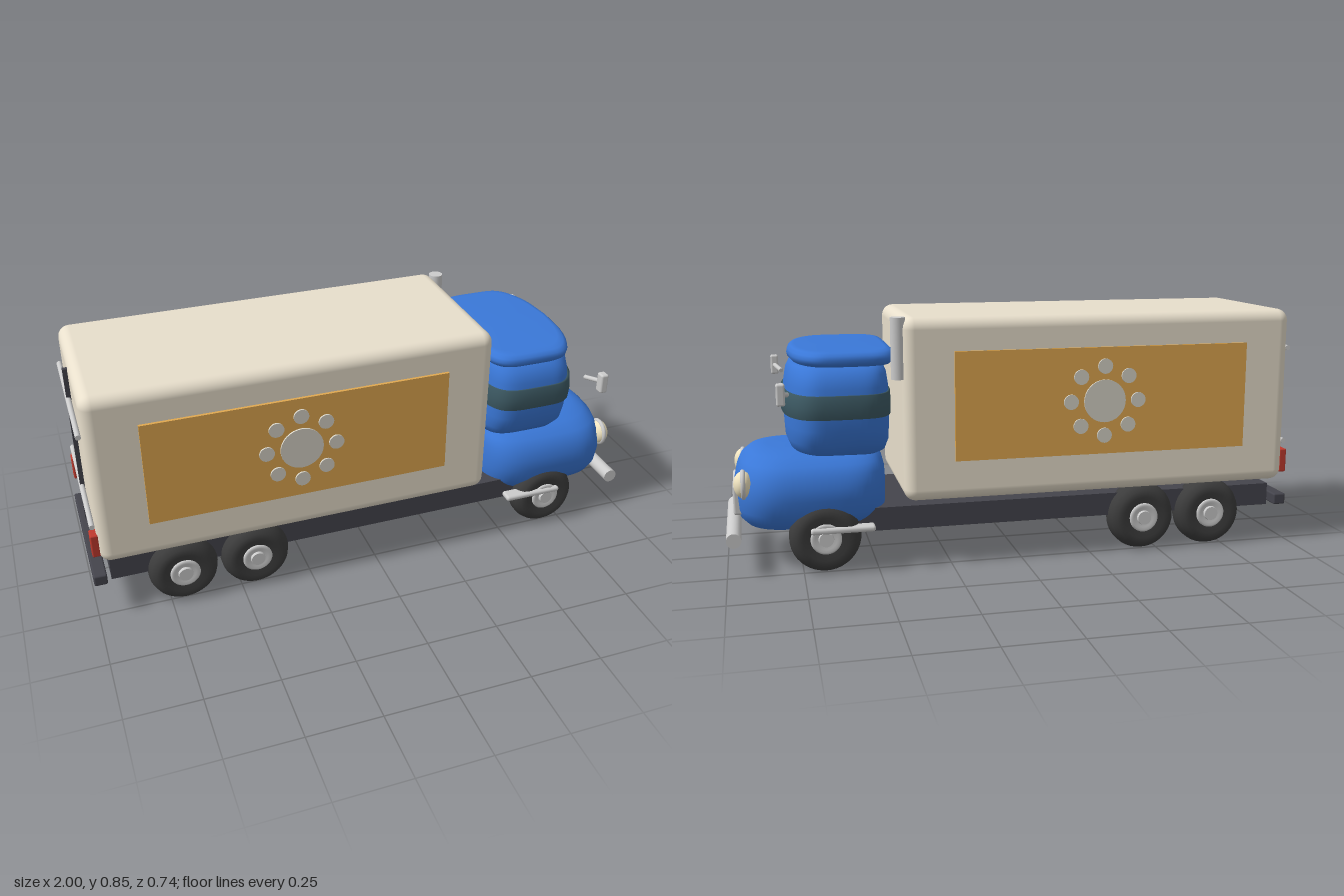
import * as THREE from 'three';
import { RoundedBoxGeometry } from 'three/addons/geometries/RoundedBoxGeometry.js';

const mat = (color, side = THREE.FrontSide) => new THREE.MeshStandardMaterial({ color, side });
const BLUE = mat(0x3a78d8), CREAM = mat(0xe8dfcc), GOLD = mat(0xe0a850), GLASS = mat(0x3d5a64),
  DARK = mat(0x44444c), TYRE = mat(0x3c3c3c), RED = mat(0xc03a2e), LAMP = mat(0xf0e4c0),
  GREY = mat(0xcccccc), PALE = mat(0xd8d4c8);

// Rounded body from horizontal rows [y, rearX, frontX, halfZ]; the front edge is bowed
function loft(rows, power = 4.5, bow = 0.04, n = 64) {
  const pos = [], idx = [];
  const sp = v => Math.sign(v) * Math.abs(v) ** (2 / power);
  for (const [y, x0, x1, hz] of rows) {
    for (let j = 0; j < n; j++) {
      const t = (j / n) * Math.PI * 2, u = sp(Math.cos(t)), w = sp(Math.sin(t));
      const x = (x0 + x1) / 2 + (u * (x1 - x0)) / 2 - bow * w * w * Math.max(u, 0);
      pos.push(x, y, w * hz);
    }
  }
  for (let i = 0; i < rows.length - 1; i++) {
    for (let j = 0; j < n; j++) {
      const k = (j + 1) % n, a = i * n + j, b = i * n + k;
      idx.push(a, a + n, b, b, a + n, b + n);
    }
  }
  const last = (rows.length - 1) * n, c = rows.length * n;
  for (const r of [rows[0], rows[rows.length - 1]]) pos.push((r[1] + r[2]) / 2, r[0], 0);
  for (let j = 0; j < n; j++) {
    const k = (j + 1) % n;
    idx.push(c, j, k, c + 1, last + k, last + j);
  }
  const g = new THREE.BufferGeometry();
  g.setAttribute('position', new THREE.Float32BufferAttribute(pos, 3));
  g.setIndex(idx);
  g.computeVertexNormals();
  return g;
}

export function createModel() {
  const truck = new THREE.Group();
  truck.name = 'truck';

  const add = (name, geo, material, x = 0, y = 0, z = 0, parent = truck) => {
    const m = new THREE.Mesh(geo, material);
    m.name = name;
    m.position.set(x, y, z);
    parent.add(m);
    return m;
  };
  // Box between two corners, optionally rounded
  const box = (name, material, x0, x1, y0, y1, z0, z1, r = 0) => add(name,
    r ? new RoundedBoxGeometry(x1 - x0, y1 - y0, z1 - z0, 4, r) : new THREE.BoxGeometry(x1 - x0, y1 - y0, z1 - z0),
    material, (x0 + x1) / 2, (y0 + y1) / 2, (z0 + z1) / 2);
  // Rod between two points
  const rod = (name, material, a, b, r) => {
    const p = new THREE.Vector3(...a), q = new THREE.Vector3(...b), d = q.clone().sub(p);
    const m = add(name, new THREE.CylinderGeometry(r, r, d.length(), 24), material);
    m.position.copy(p).add(q).multiplyScalar(0.5);
    m.quaternion.setFromUnitVectors(new THREE.Vector3(0, 1, 0), d.normalize());
    return m;
  };

  // Chassis and cargo box
  box('chassis', DARK, -0.94, 0.6, 0.125, 0.205, -0.23, 0.23);
  box('rearBumper', DARK, -1, -0.955, 0.13, 0.17, -0.26, 0.26, 0.006);
  box('cargoBox', CREAM, -0.97, 0.41, 0.23, 0.85, -0.29, 0.29, 0.04);

  // Side panels with a sun of discs
  const disc = (r, x, y, s) => {
    const m = add('sunDisc', new THREE.CylinderGeometry(r, r, 0.01, 32), PALE, x, y, s * 0.301);
    m.rotation.x = Math.PI / 2;
  };
  for (const s of [1, -1]) {
    add('sidePanel', new THREE.BoxGeometry(1.04, 0.37, 0.02), GOLD, -0.28, 0.553, s * 0.29);
    disc(0.074, -0.28, 0.553, s);
    for (let i = 0; i < 8; i++) {
      const a = (i * Math.PI) / 4;
      disc(0.026, -0.28 + 0.12 * Math.cos(a), 0.553 + 0.12 * Math.sin(a), s);
    }
  }

  // Rear doors: seam, lock bars and tail lights
  box('doorSeam', DARK, -0.985, -0.965, 0.235, 0.82, -0.008, 0.008);
  for (const y of [0.37, 0.71]) rod('lockBar', GREY, [-0.98, y, -0.26], [-0.98, y, 0.26], 0.009);
  for (const s of [1, -1]) {
    box('tailLight', RED, -0.992, -0.965, 0.255, 0.34, s * 0.245 - 0.022, s * 0.245 + 0.022, 0.005);
  }

  // Cab: hood body, upper cab, window band and roof
  add('hood', loft([
    [0.13, 0.56, 0.91, 0.16], [0.14, 0.5, 0.935, 0.2], [0.165, 0.465, 0.955, 0.24], [0.2, 0.457, 0.964, 0.263],
    [0.25, 0.455, 0.967, 0.274], [0.29, 0.455, 0.965, 0.272], [0.33, 0.457, 0.957, 0.26],
    [0.36, 0.464, 0.943, 0.236], [0.385, 0.482, 0.915, 0.193], [0.396, 0.51, 0.885, 0.14], [0.4, 0.56, 0.85, 0.09],
  ], 4), BLUE);
  add('upperCab', loft([
    [0.38, 0.47, 0.755, 0.18], [0.395, 0.452, 0.772, 0.218], [0.43, 0.442, 0.785, 0.25], [0.48, 0.44, 0.788, 0.266],
    [0.55, 0.44, 0.79, 0.272], [0.62, 0.441, 0.787, 0.266], [0.66, 0.446, 0.78, 0.25],
    [0.685, 0.455, 0.768, 0.222], [0.7, 0.475, 0.75, 0.18],
  ]), BLUE);
  add('windowBand', loft([
    [0.52, 0.44, 0.79, 0.268], [0.521, 0.435, 0.798, 0.275], [0.56, 0.433, 0.8, 0.278],
    [0.599, 0.435, 0.797, 0.274], [0.6, 0.44, 0.788, 0.267],
  ]), GLASS);
  add('roof', loft([
    [0.69, 0.45, 0.745, 0.24], [0.694, 0.434, 0.76, 0.264], [0.704, 0.423, 0.77, 0.277], [0.717, 0.42, 0.773, 0.28],
    [0.73, 0.423, 0.77, 0.277], [0.74, 0.434, 0.76, 0.264], [0.744, 0.45, 0.745, 0.24],
  ], 5, 0.05), BLUE);

  // Nose: grille, headlights and bumper
  box('grille', GREY, 0.93, 0.972, 0.18, 0.283, -0.125, 0.125, 0.008);
  for (const s of [1, -1]) {
    const lamp = add('headlight', new THREE.SphereGeometry(0.045, 32, 20), LAMP, 0.936, 0.3, s * 0.18);
    lamp.scale.x = 0.7;
    const rim = add('headlightRim', new THREE.TorusGeometry(0.043, 0.008, 12, 36), GREY, 0.936, 0.3, s * 0.18);
    rim.rotation.y = Math.PI / 2;
  }
  rod('frontBumper', GREY, [0.974, 0.126, -0.245], [0.974, 0.126, 0.245], 0.025);

  // Exhaust stack on the right
  rod('exhaust', GREY, [0.42, 0.645, -0.246], [0.42, 0.85, -0.246], 0.025);

  // Mirrors and steps
  for (const s of [1, -1]) {
    rod('mirrorArm', GREY, [0.785, 0.612, s * 0.275], [0.807, 0.625, s * 0.34], 0.008);
    box('mirror', GREY, 0.793, 0.821, 0.59, 0.661, s * 0.352 - 0.017, s * 0.352 + 0.017, 0.007);
    box('step', GREY, 0.51, 0.725, 0.14, 0.16, s * 0.265 - 0.025, s * 0.265 + 0.025, 0.009);
  }

  // Wheels
  const lathe = pts => new THREE.LatheGeometry(pts.map(p => new THREE.Vector2(...p)), 40);
  const tyreGeo = lathe([[0, -0.045], [0.05, -0.045], [0.075, -0.054], [0.098, -0.05], [0.113, -0.033], [0.12, -0.012],
    [0.12, 0.012], [0.113, 0.033], [0.098, 0.05], [0.075, 0.054], [0.052, 0.047], [0, 0.043]]);
  const rimGeo = lathe([[0.052, 0.03], [0.052, 0.05], [0.044, 0.056], [0.036, 0.05], [0, 0.05]]);
  const hubGeo = new THREE.CylinderGeometry(0.024, 0.028, 0.02, 32);
  for (const x of [-0.697, -0.443, 0.675]) {
    for (const s of [1, -1]) {
      const wheel = new THREE.Group();
      wheel.name = x > 0 ? 'frontWheel' : 'rearWheel';
      add('tyre', tyreGeo, TYRE, 0, 0, 0, wheel);
      add('rim', rimGeo, GREY, 0, 0, 0, wheel);
      add('hub', hubGeo, GREY, 0, 0.05, 0, wheel);
      wheel.rotation.x = (s * Math.PI) / 2;
      wheel.position.set(x, 0.12, s * 0.225);
      truck.add(wheel);
    }
  }
  return truck;
}
